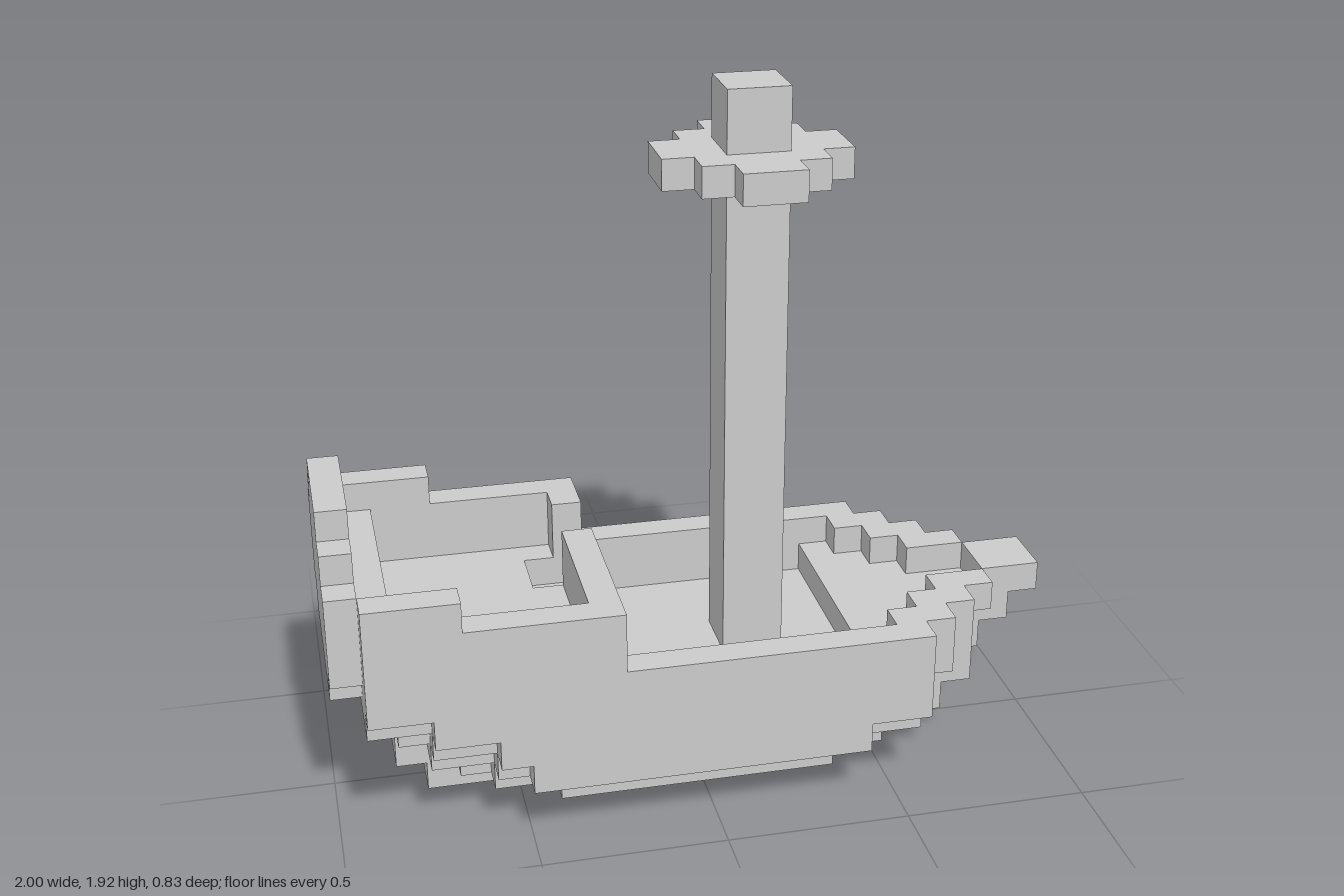
import * as THREE from 'three';

const U = 1 / 12; // one block
const material = new THREE.MeshStandardMaterial({ color: 0xcccccc, flatShading: true });

// Stepped outline, mirrored over z = 0; bands run from the centre outwards as [xBack, xFront]
function outline(bands) {
  const half = [];
  bands.forEach(([, x], i) => half.push([x, i], [x, i + 1]));
  [...bands].reverse().forEach(([x], j) => {
    const i = bands.length - 1 - j;
    half.push([x, i + 1], [x, i]);
  });
  const mirrored = half.slice(1, -1).reverse().map(([x, z]) => [x, -z]);
  return [...half, ...mirrored].map(([x, z]) => new THREE.Vector2(x * U, z * U));
}

export function createModel() {
  const model = new THREE.Group();
  model.name = 'blockShip';

  const add = (parent, name, geometry) => {
    const mesh = new THREE.Mesh(geometry, material);
    mesh.name = name;
    parent.add(mesh);
    return mesh;
  };
  const group = (name) => {
    const g = new THREE.Group();
    g.name = name;
    model.add(g);
    return g;
  };
  // Box from block coordinates
  const box = (parent, name, x0, x1, y0, y1, z0, z1) =>
    add(parent, name, new THREE.BoxGeometry((x1 - x0) * U, (y1 - y0) * U, (z1 - z0) * U))
      .position.set((x0 + x1) * U / 2, (y0 + y1) * U / 2, (z0 + z1) * U / 2);
  // One-block-high horizontal layer with an optional stepped hole
  const layer = (parent, name, y, bands, hole) => {
    const shape = new THREE.Shape(outline(bands));
    if (hole) shape.holes.push(new THREE.Path(outline(hole)));
    const geometry = new THREE.ExtrudeGeometry(shape, { depth: U, bevelEnabled: false });
    geometry.rotateX(Math.PI / 2).translate(0, (y + 1) * U, 0);
    add(parent, name, geometry);
  };

  // Hull, widening upwards from the keel
  const hull = group('hull');
  layer(hull, 'keel', 0, [[-9, 7]]);
  layer(hull, 'bilge', 1, [[-10, 8], [-8, 7], [-7, 6], [-5, 4]]);
  layer(hull, 'lowerPlanking', 2, [[-10, 9], [-9, 8], [-9, 8], [-7, 7], [-6, 5]]);
  layer(hull, 'mainDeck', 3, [[-10, 10], [-10, 9], [-10, 9], [-9, 7], [-7, 7]]);
  layer(hull, 'upperPlanking', 4,
    [[-11, 11], [-11, 9], [-11, 9], [-11, 8], [-9, 7]],
    [[-3, 5], [-3, 5], [-3, 5], [-3, 5]]);
  layer(hull, 'rim', 5,
    [[-12, 12], [-12, 10], [-12, 9], [-11, 8], [-11, 7]],
    [[-5, 10], [-5, 8], [-5, 7], [-5, 6]]);

  // Raised aft deck edge and railing, with the stair gap between them
  const aft = group('aftCastle');
  for (const [z0, z1] of [[-4, -3], [-1, 4]]) {
    box(aft, 'aftDeckEdge', -5, -3, 5, 6, z0, z1);
    box(aft, 'aftRailing', -4, -3, 6, 8, z0, z1);
  }
  for (const z of [-5, 4]) {
    box(aft, 'aftSideWall', -11, -3, 6, 8, z, z + 1);
    box(aft, 'aftSideWallTop', -11, -8, 8, 9, z, z + 1);
  }
  box(aft, 'sternBench', -11, -10, 6, 8, -4, 4);

  // Stepped stern board
  const stern = group('sternBoard');
  [[6, 9, 4], [9, 10, 3], [10, 11, 2]].forEach(([y0, y1, w]) =>
    box(stern, 'sternPlank', -12, -11, y0, y1, -w, w));

  // Mast and lookout platform
  const mast = group('mast');
  box(mast, 'mastPole', 1, 3, 4, 23, -1, 1);
  layer(mast, 'lookout', 20, [[-1, 5], [0, 4], [1, 3]]);

  return model;
}
